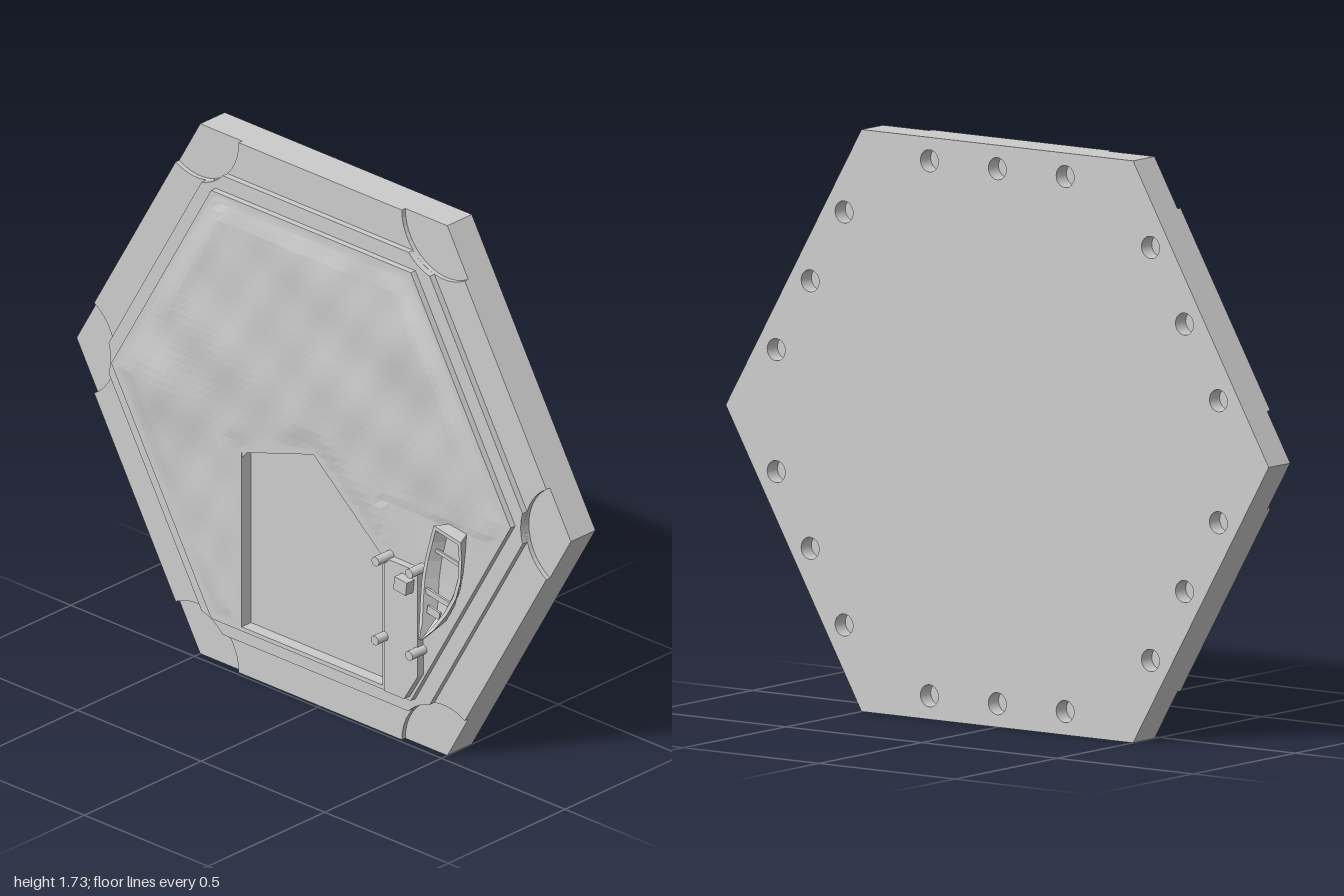
import * as THREE from 'three';

const CY = 0.866; // height of the tile centre
const GREY = new THREE.MeshStandardMaterial({ color: 0xcccccc, flatShading: true, side: THREE.DoubleSide });
const V = (x, y) => new THREE.Vector2(x, y);
const RECESS = [V(-0.28, 0.18), V(0.29, 0.18), V(0.29, 0.6), V(0.01, 0.84), V(-0.28, 0.75)];

function add(parent, name, geometry, x = 0, y = 0, z = 0) {
  const m = new THREE.Mesh(geometry, GREY);
  m.name = name;
  m.position.set(x, y, z);
  parent.add(m);
  return m;
}

function slab(parent, name, shape, z0, z1) {
  return add(parent, name, new THREE.ExtrudeGeometry(shape, { depth: z1 - z0, bevelEnabled: false, curveSegments: 16 }), 0, 0, z0);
}

function hexPoints(r) {
  return Array.from({ length: 6 }, (_, i) => V(r * Math.cos(i * Math.PI / 3), CY + r * Math.sin(i * Math.PI / 3)));
}

// Hexagon inset from the outer edge, with round bites centred on the outer corners
function bittenHex(inset, bite = 0.17) {
  const pts = [];
  const half = Math.PI / 3 - Math.asin(inset / bite);
  hexPoints(1).forEach((c, i) => {
    for (let k = 0; k <= 14; k++) {
      const a = i * Math.PI / 3 + Math.PI + half * (1 - 2 * k / 14);
      pts.push(V(c.x + bite * Math.cos(a), c.y + bite * Math.sin(a)));
    }
  });
  return new THREE.Shape(pts);
}

// Distance inside (positive) or outside (negative) a convex outline
function insideDistance(poly, x, y) {
  let d = Infinity;
  poly.forEach((a, i) => {
    const b = poly[(i + 1) % poly.length];
    const ex = b.x - a.x, ey = b.y - a.y;
    d = Math.min(d, (ex * (y - a.y) - ey * (x - a.x)) / Math.hypot(ex, ey));
  });
  return d;
}

// Bumpy ground: soft mounds plus ripples, fading out at the rim and the recess
const MOUNDS = [[-0.6, 1.3, 0.1, 0.024], [-0.42, 1.45, 0.1, 0.014], [0.43, 1.34, 0.1, 0.02], [-0.6, 0.86, 0.1, 0.02],
  [-0.4, 1.08, 0.12, 0.018], [0.1, 1.05, 0.12, 0.012], [0.5, 1.0, 0.1, 0.01], [0.0, 1.4, 0.12, 0.01]];
function groundHeight(x, y, hex) {
  let h = 0.005 + 0.003 * Math.sin(17 * x + 9 * y) * Math.cos(14 * y - 6 * x) + 0.0015 * Math.sin(37 * x - 23 * y);
  for (const [mx, my, s, a] of MOUNDS) h += a * Math.exp(-((x - mx) ** 2 + (y - my) ** 2) / (2 * s * s));
  if (x > 0.29 && y < 0.8) h *= 0.4;
  const edge = Math.min(insideDistance(hex, x, y), -insideDistance(RECESS, x, y));
  return -0.001 + h * THREE.MathUtils.smoothstep(edge, 0, 0.09);
}

function groundGeometry() {
  const hex = hexPoints(0.806), N = 52, pos = [], idx = [];
  for (let j = 0; j <= N; j++) {
    const dy = 0.698 * (2 * j / N - 1);
    const w = 0.806 - Math.abs(dy) / Math.sqrt(3);
    for (let i = 0; i <= N; i++) {
      const x = w * (2 * i / N - 1);
      pos.push(x, CY + dy, 0.03 + groundHeight(x, CY + dy, hex));
    }
  }
  const open = k => insideDistance(RECESS, pos[3 * k], pos[3 * k + 1]) < 0;
  for (let j = 0; j < N; j++) for (let i = 0; i < N; i++) {
    const a = j * (N + 1) + i, b = a + 1, c = a + N + 1, d = c + 1;
    for (const t of [[a, b, d], [a, d, c]]) if (t.every(open)) idx.push(...t);
  }
  return meshFrom(pos, idx);
}

function meshFrom(pos, idx) {
  const g = new THREE.BufferGeometry();
  g.setAttribute('position', new THREE.Float32BufferAttribute(pos, 3));
  g.setIndex(idx);
  g.computeVertexNormals();
  return g;
}

// Open hull from stations: distance from stern, half width, keel height, rim height
function hullGeometry() {
  const stations = [[0, 0.056, 0.03, 0.078], [0.06, 0.066, 0.03, 0.073], [0.13, 0.073, 0.03, 0.072], [0.19, 0.07, 0.03, 0.077],
    [0.25, 0.055, 0.032, 0.088], [0.31, 0.031, 0.042, 0.106], [0.355, 0.004, 0.11, 0.13]];
  const pos = [], idx = [], t = 0.012;
  for (const [u, w, k, r] of stations) {
    const wi = Math.max(w - t, 0.001), f = Math.min(k + 0.01, r - 0.002);
    const section = [[-w, r], [-w * 0.6, k], [w * 0.6, k], [w, r], [wi, r], [wi * 0.6, f], [-wi * 0.6, f], [-wi, r]];
    for (const [x, z] of section) pos.push(x, -u, z);
  }
  for (let s = 0; s < stations.length - 1; s++) for (let k = 0; k < 8; k++) {
    const a = s * 8 + k, b = s * 8 + (k + 1) % 8;
    idx.push(a, b, a + 8, b, b + 8, a + 8);
  }
  return meshFrom(pos, idx);
}

function createBoat() {
  const boat = new THREE.Group();
  boat.name = 'boat';
  add(boat, 'hull', hullGeometry());
  const transom = new THREE.Shape([V(-0.056, 0.078), V(-0.034, 0.03), V(0.034, 0.03), V(0.056, 0.078)]);
  const plate = add(boat, 'transom', new THREE.ExtrudeGeometry(transom, { depth: 0.012, bevelEnabled: false }));
  plate.rotation.x = Math.PI / 2;
  add(boat, 'midSeat', new THREE.BoxGeometry(0.11, 0.012, 0.006), 0, -0.09, 0.058);
  add(boat, 'frontSeat', new THREE.BoxGeometry(0.104, 0.018, 0.008), 0, -0.225, 0.074);
  add(boat, 'bowSeat', new THREE.BoxGeometry(0.05, 0.025, 0.008), 0, -0.275, 0.082);
  boat.position.set(0.597, 0.792, 0);
  boat.rotation.z = -0.18;
  return boat;
}

export function createModel() {
  const tile = new THREE.Group();
  tile.name = 'hexTile';

  // Base with three round sockets along each back edge
  const back = new THREE.Shape(hexPoints(1));
  for (let s = 0; s < 6; s++) for (const off of [-0.25, 0, 0.25]) {
    const a = Math.PI / 6 + s * Math.PI / 3, d = 0.866 - 0.07;
    back.holes.push(new THREE.Path().absarc(
      d * Math.cos(a) - off * Math.sin(a), CY + d * Math.sin(a) + off * Math.cos(a), 0.033, 0, Math.PI * 2, true));
  }
  slab(tile, 'backPlate', back, -0.13, -0.08);
  slab(tile, 'basePlate', new THREE.Shape(hexPoints(1)), -0.08, -0.025);

  // Stepped tiers, the upper two cut through by the house recess
  slab(tile, 'rimTier', bittenHex(0), -0.025, -0.01);
  const middle = bittenHex(0.116), upper = new THREE.Shape(hexPoints(0.808));
  for (const s of [middle, upper]) s.holes.push(new THREE.Path([...RECESS].reverse()));
  slab(tile, 'middleTier', middle, -0.01, 0.01);
  slab(tile, 'upperTier', upper, 0.01, 0.03);
  add(tile, 'ground', groundGeometry());

  // Dock with posts and a crate
  const dock = new THREE.Group();
  dock.name = 'dock';
  const deck = new THREE.Shape([V(0.32, 0.18), V(0.4, 0.18), V(0.455, 0.27), V(0.455, 0.615), V(0.32, 0.615)]);
  slab(dock, 'deck', deck, 0.025, 0.055);
  for (const [x, y, top] of [[0.322, 0.617, 0.095], [0.455, 0.62, 0.092], [0.322, 0.36, 0.098], [0.455, 0.352, 0.092]]) {
    const post = add(dock, 'post', new THREE.CylinderGeometry(0.015, 0.015, top - 0.02, 16), x, y, (top + 0.02) / 2);
    post.rotation.x = Math.PI / 2;
  }
  add(dock, 'crate', new THREE.BoxGeometry(0.05, 0.043, 0.035), 0.415, 0.565, 0.07).rotation.z = -0.12;
  tile.add(dock, createBoat());
  return tile;
}
